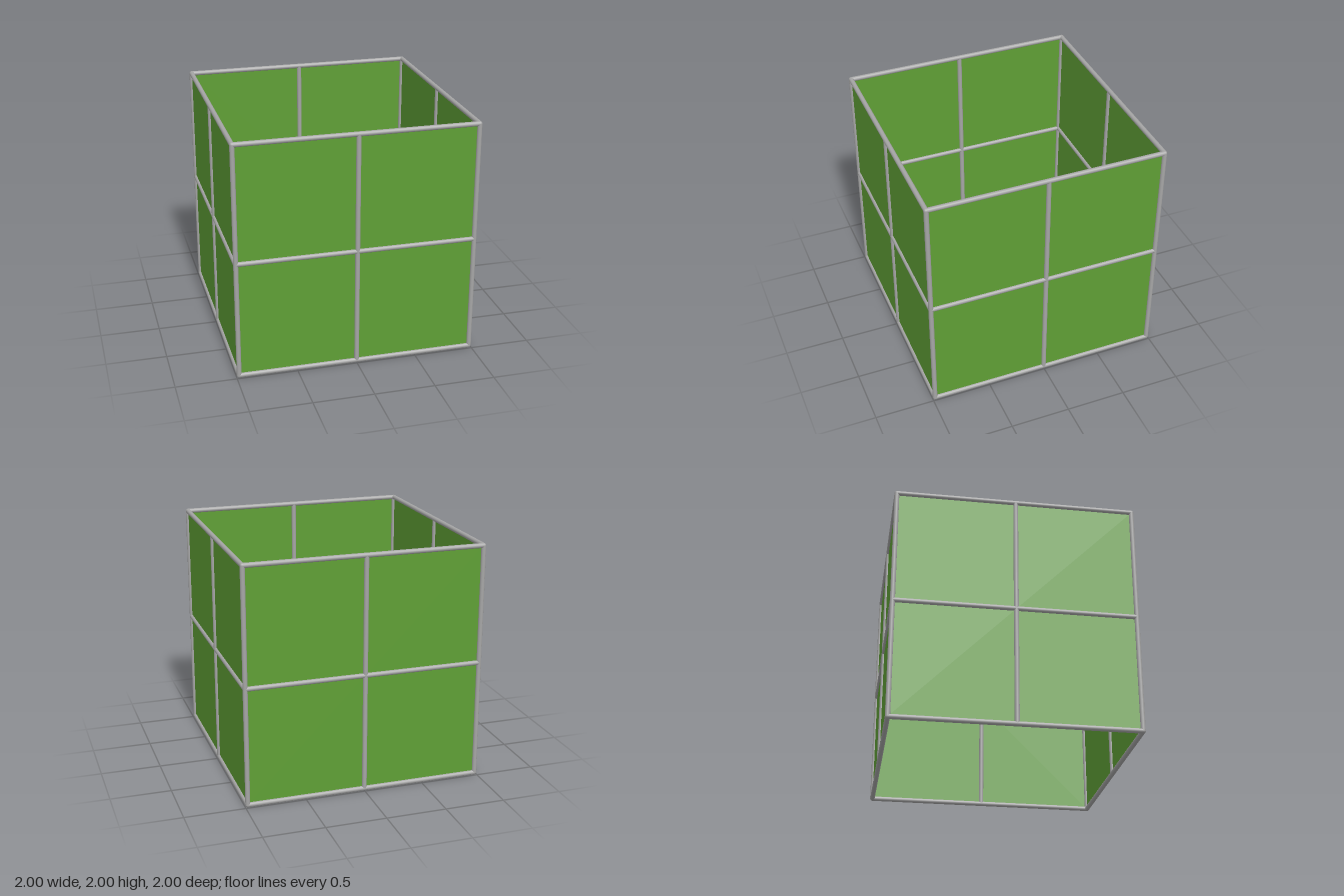
import * as THREE from 'three';

export function createModel() {
  const model = new THREE.Group();
  model.name = 'openPanelBox';
  const green = new THREE.MeshStandardMaterial({ color: 0x5f9f35, side: THREE.DoubleSide });
  green.name = 'panelGreen';
  const grey = new THREE.MeshStandardMaterial({ color: 0xa6a6a6 });
  grey.name = 'tubeGrey';

  const R = 0.02;        // tube radius
  const H = 1 - R;       // tube centre line, half span

  const tubeGeometry = new THREE.CylinderGeometry(R, R, 2 * H, 16);
  const cornerGeometry = new THREE.SphereGeometry(R, 16, 12);
  const panelGeometry = new THREE.PlaneGeometry(2 * H, 2 * H);

  function add(parent, name, geometry, material, x, y, z) {
    const mesh = new THREE.Mesh(geometry, material);
    mesh.name = name;
    mesh.position.set(x, y, z);
    parent.add(mesh);
    return mesh;
  }

  // Four identical walls: panel, corner post, top and bottom rails, centre cross
  ['front', 'left', 'back', 'right'].forEach((side, i) => {
    const wall = new THREE.Group();
    wall.name = side + 'Wall';
    wall.rotation.y = i * Math.PI / 2;
    model.add(wall);

    add(wall, 'panel', panelGeometry, green, 0, 1, H);
    add(wall, 'cornerPost', tubeGeometry, grey, H, 1, H);
    add(wall, 'middlePost', tubeGeometry, grey, 0, 1, H);
    for (const [name, y] of [['bottomRail', R], ['middleRail', 1], ['topRail', 2 - R]]) {
      add(wall, name, tubeGeometry, grey, 0, y, H).rotation.z = Math.PI / 2;
    }
    // Rounded joints where three tubes meet
    for (const y of [R, 2 - R]) add(wall, 'cornerJoint', cornerGeometry, grey, H, y, H);
  });

  return model;
}
